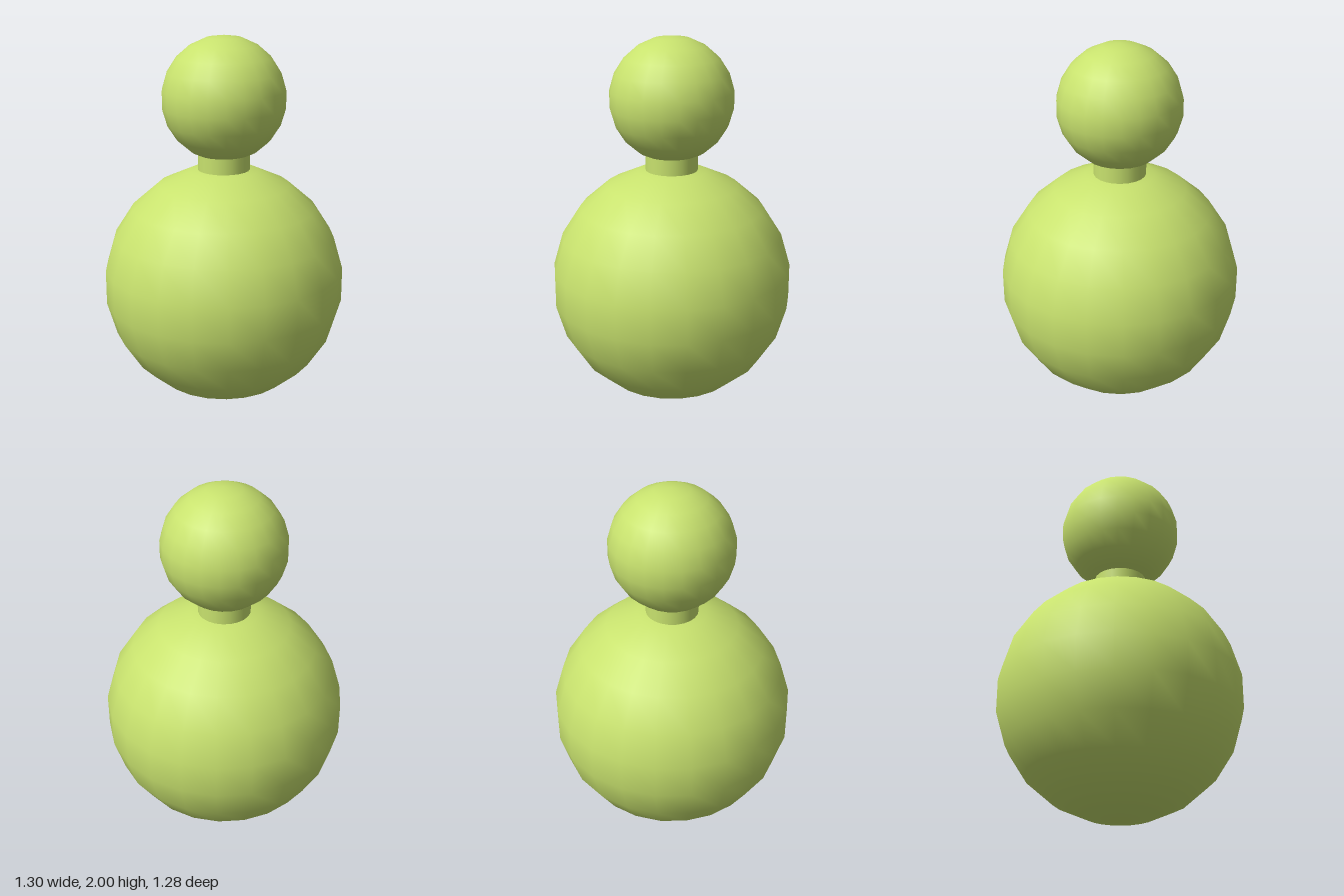
import * as THREE from 'three';

const SIDES = 22;
const RINGS = 11;

export function createModel() {
  const model = new THREE.Group();
  const material = new THREE.MeshStandardMaterial({ color: 0xc8e26e });

  const add = (name, geometry, y) => {
    const mesh = new THREE.Mesh(geometry, material);
    mesh.name = name;
    mesh.position.y = y;
    model.add(mesh);
    return mesh;
  };

  // Large round body and small round head
  add('body', new THREE.SphereGeometry(0.655, SIDES, RINGS), 0.655);
  add('head', new THREE.SphereGeometry(0.33, SIDES, RINGS), 1.67);

  // Short neck, its ends sunk into the body and the head
  const neck = add('neck', new THREE.CylinderGeometry(0.14, 0.14, 0.18, SIDES), 1.335);
  neck.rotation.y = Math.PI / 2;

  return model;
}
